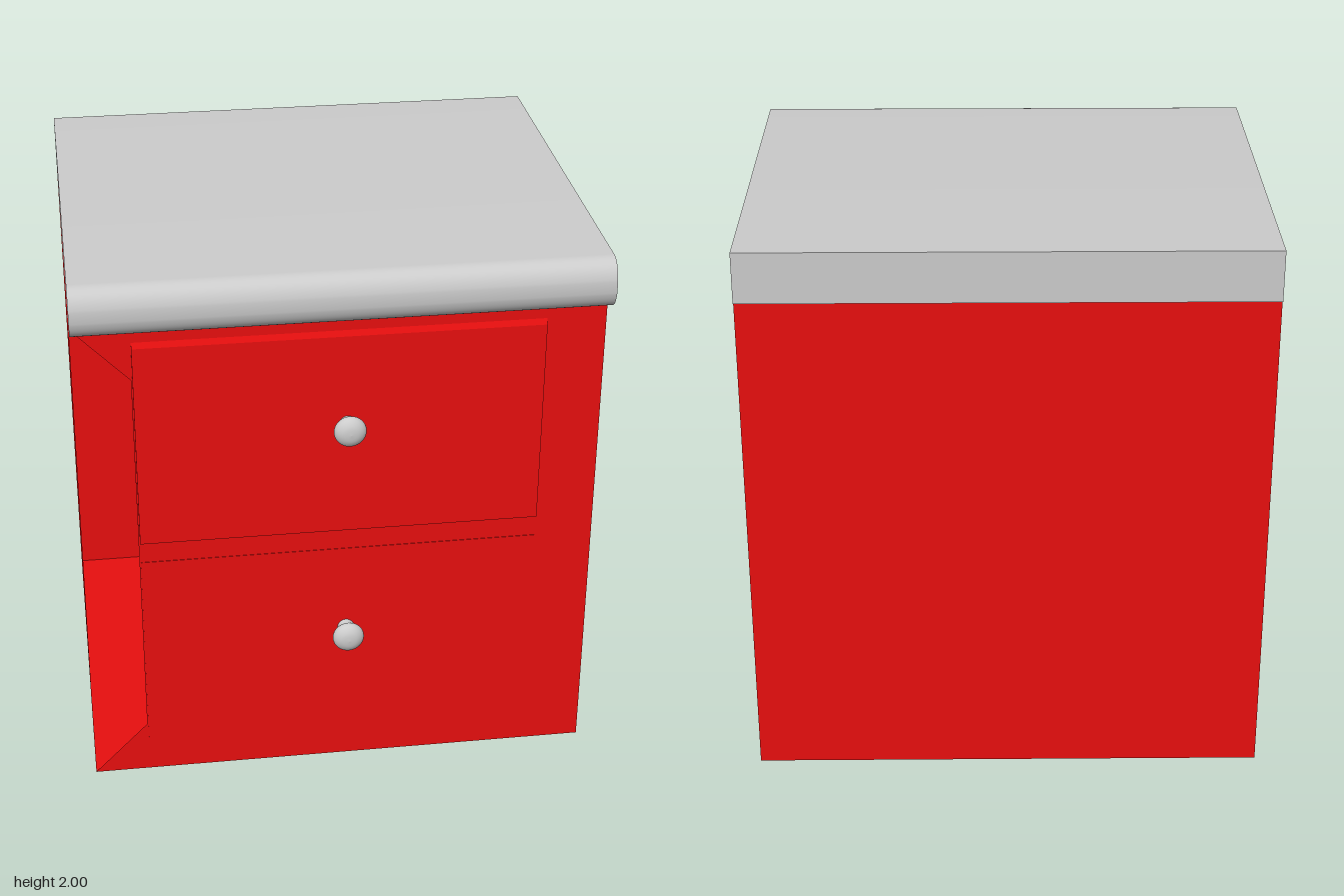
import * as THREE from 'three';

const W = 0.905, BODY_H = 1.82, FRONT = 0.68, BACK = -0.77;

export function createModel() {
  const model = new THREE.Group();
  model.name = 'nightstand';
  const red = new THREE.MeshStandardMaterial({ color: 0xe80f0f, side: THREE.DoubleSide });
  const grey = new THREE.MeshStandardMaterial({ color: 0xcccccc });

  const add = (name, geometry, material, parent = model) => {
    const mesh = new THREE.Mesh(geometry, material);
    mesh.name = name;
    parent.add(mesh);
    return mesh;
  };

  // Extrudes a (z, y) side profile across the width from x0 to x1
  const extrudeAcross = (shape, x0, x1) =>
    new THREE.ExtrudeGeometry(shape, { depth: x1 - x0, bevelEnabled: false, curveSegments: 16 })
      .rotateY(-Math.PI / 2)
      .scale(1, 1, 1)
      .translate(x1, 0, 0);

  // Cabinet shell: a thin-walled box with its front face left off
  const shell = new THREE.BoxGeometry(2 * W, BODY_H, FRONT - BACK);
  const index = Array.from(shell.index.array);
  index.splice(24, 6);
  shell.setIndex(index);
  shell.clearGroups();
  shell.translate(0, BODY_H / 2, (FRONT + BACK) / 2);
  add('cabinetShell', shell, red);

  // Front frame, open in a mitred strip along the side at -x
  const frame = new THREE.Shape([
    [-W, 0], [W, 0], [W, BODY_H], [-W, BODY_H], [-0.71, 1.62], [-0.71, 0.2],
  ].map(([x, y]) => new THREE.Vector2(x, y)));
  add('frontFrame', new THREE.ShapeGeometry(frame).translate(0, 0, FRONT), red);

  // Worktop with a rounded front edge
  const r = 0.07, zf = 0.785, top = new THREE.Shape();
  top.moveTo(-zf, BODY_H);
  top.lineTo(zf - r, BODY_H);
  top.quadraticCurveTo(zf - 0.012, BODY_H + 0.003, zf, BODY_H + r);
  top.lineTo(zf, 2 - r);
  top.quadraticCurveTo(zf - 0.012, 1.997, zf - r, 2);
  top.lineTo(-zf, 2);
  top.closePath();
  add('worktop', smoothAcross(extrudeAcross(top, -W, W), r, zf), grey);

  // Turned knob: flared stem and flattened round head
  const knobProfile = new THREE.SplineCurve([
    [0.03, 0], [0.026, 0.02], [0.028, 0.035], [0.045, 0.05],
    [0.056, 0.066], [0.05, 0.084], [0.028, 0.098], [0, 0.102],
  ].map(([x, y]) => new THREE.Vector2(x, y))).getPoints(24);
  knobProfile.forEach((p) => { p.x = Math.max(p.x, 0); });
  const knobGeometry = new THREE.LatheGeometry(knobProfile, 32).rotateX(Math.PI / 2);

  // Drawers: the upper one stands proud with a sloped top edge
  const drawers = [
    { name: 'upperDrawer', y0: 0.98, y1: 1.74, slope: 0.02, z: 0.689, knobY: 1.41 },
    { name: 'lowerDrawer', y0: 0.14, y1: 0.9, slope: 0, z: 0.682, knobY: 0.568 },
  ];
  for (const d of drawers) {
    const drawer = new THREE.Group();
    drawer.name = d.name;
    model.add(drawer);
    const side = new THREE.Shape([
      [0.66, d.y0], [d.z, d.y0], [d.z, d.y1], [FRONT, d.y1 + d.slope], [0.66, d.y1 + d.slope],
    ].map(([z, y]) => new THREE.Vector2(z, y)));
    add(d.name + 'Front', extrudeAcross(side, -0.705, 0.7), red, drawer);
    add(d.name + 'Knob', knobGeometry, grey, drawer).position.set(0.02, d.knobY, FRONT);
  }
  return model;
}

// Gives the rounded front edge smooth normals, leaving the flat faces sharp
function smoothAcross(geometry, r, zf) {
  const p = geometry.attributes.position, n = geometry.attributes.normal;
  const sums = new Map();
  const key = (i) => p.getY(i).toFixed(4) + '/' + p.getZ(i).toFixed(4);
  const isRound = (i) => Math.abs(n.getX(i)) < 0.5 && p.getZ(i) > zf - r - 0.001;
  const v = new THREE.Vector3();
  for (let i = 0; i < p.count; i++) {
    if (!isRound(i)) continue;
    if (!sums.has(key(i))) sums.set(key(i), new THREE.Vector3());
    sums.get(key(i)).add(v.fromBufferAttribute(n, i));
  }
  for (let i = 0; i < p.count; i++) {
    if (!isRound(i)) continue;
    v.copy(sums.get(key(i))).normalize();
    n.setXYZ(i, v.x, v.y, v.z);
  }
  return geometry;
}
